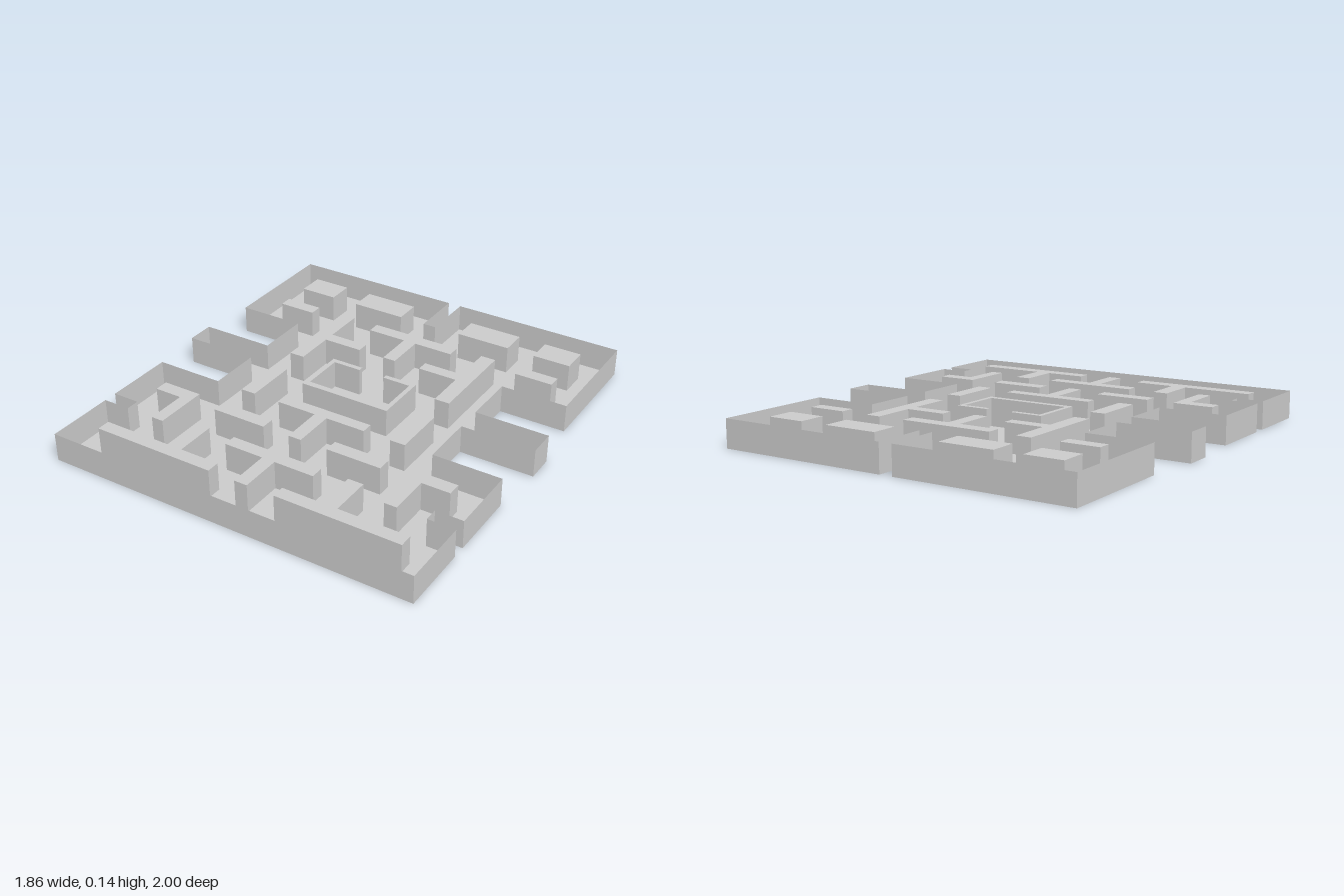
import * as THREE from 'three';

const HEIGHT = 0.136;
const material = new THREE.MeshStandardMaterial({ color: 0xcccccc, flatShading: true, side: THREE.DoubleSide });

// Plan points are [x, z]; the shape plane uses y = -z, ordered counter-clockwise from above
function planLoop(points) {
  const loop = points.map(([x, z]) => new THREE.Vector2(x, -z));
  return THREE.ShapeUtils.isClockWise(loop) ? loop.reverse() : loop;
}

const mirrorX = points => points.map(([x, z]) => [-x, z]);
const symmetric = half => [...half, ...mirrorX(half).reverse()];
const rect = (x0, x1, z0, z1) => [[x0, z0], [x1, z0], [x1, z1], [x0, z1]];

// Upright wall sheet following a closed plan loop
function wallGeometry(points) {
  const loop = planLoop(points);
  const position = [];
  loop.forEach((a, i) => {
    const b = loop[(i + 1) % loop.length];
    const a0 = [a.x, 0, -a.y], b0 = [b.x, 0, -b.y];
    const a1 = [a.x, HEIGHT, -a.y], b1 = [b.x, HEIGHT, -b.y];
    position.push(...a0, ...b0, ...b1, ...a0, ...b1, ...a1);
  });
  const geometry = new THREE.BufferGeometry();
  geometry.setAttribute('position', new THREE.Float32BufferAttribute(position, 3));
  geometry.computeVertexNormals();
  return geometry;
}

// Flat horizontal sheet, optionally pierced
function sheetGeometry(points, y, holes = []) {
  const shape = new THREE.Shape(planLoop(points));
  holes.forEach(h => shape.holes.push(new THREE.Path(planLoop(h))));
  return new THREE.ShapeGeometry(shape).rotateX(-Math.PI / 2).translate(0, y, 0);
}

function add(parent, name, geometry) {
  const mesh = new THREE.Mesh(geometry, material);
  mesh.name = name;
  parent.add(mesh);
}

// T-shaped block on the centre line, with its stem pointing to the front
const centreT = (z0, z1, z2) => symmetric([[0.227, z0], [0.227, z1], [0.032, z1], [0.032, z2]]);

export function createModel() {
  const model = new THREE.Group();
  model.name = 'maze';

  // Stepped outline with side tunnels and a rear notch
  const outline = symmetric([
    [0.033, -0.734], [0.033, -1], [0.895, -1], [0.895, -0.4], [0.571, -0.4],
    [0.571, -0.136], [0.93, -0.136], [0.93, 0], [0.571, 0], [0.571, 0.262],
    [0.904, 0.262], [0.904, 0.602], [0.772, 0.602], [0.772, 0.668],
    [0.904, 0.668], [0.904, 1],
  ]);

  // Blocks that appear once on each side
  const sideBlocks = {
    rearBlock: rect(0.166, 0.435, -0.868, -0.735),
    rearCornerBlock: rect(0.573, 0.76, -0.868, -0.735),
    rearBar: rect(0.573, 0.76, -0.6, -0.535),
    sidewaysT: [[0.361, -0.6], [0.435, -0.6], [0.435, -0.137], [0.361, -0.137],
      [0.361, -0.337], [0.166, -0.337], [0.166, -0.396], [0.361, -0.396]],
    uprightBar: rect(0.361, 0.435, 0, 0.262),
    crossBar: rect(0.166, 0.435, 0.4, 0.467),
    cornerL: [[0.573, 0.4], [0.77, 0.4], [0.77, 0.467], [0.633, 0.467],
      [0.633, 0.667], [0.573, 0.667]],
    frontT: [[0.361, 0.602], [0.435, 0.602], [0.435, 0.8], [0.772, 0.8],
      [0.772, 0.864], [0.166, 0.864], [0.166, 0.8], [0.361, 0.8]],
  };

  // Blocks on the centre line, including the open-backed pen
  const centreBlocks = {
    rearCentreT: centreT(-0.6, -0.535, -0.337),
    middleCentreT: centreT(0.205, 0.262, 0.467),
    frontCentreT: centreT(0.602, 0.665, 0.864),
    centrePen: [
      ...[[0.066, -0.2], [0.227, -0.2], [0.227, 0.068]],
      ...[[-0.227, 0.068], [-0.227, -0.2], [-0.066, -0.2]],
      ...[[-0.066, -0.175], [-0.205, -0.175], [-0.205, 0.038]],
      ...[[0.205, 0.038], [0.205, -0.175], [0.066, -0.175]],
    ],
  };

  const blocks = Object.entries(centreBlocks);
  for (const [name, points] of Object.entries(sideBlocks)) {
    blocks.push([name + 'Left', points], [name + 'Right', mirrorX(points)]);
  }

  // Floor is open beneath every hollow block
  add(model, 'floor', sheetGeometry(outline, 0, blocks.map(([, points]) => points)));
  add(model, 'outerWall', wallGeometry(outline));

  for (const [name, points] of blocks) {
    const block = new THREE.Group();
    block.name = name;
    add(block, 'blockSides', wallGeometry(points));
    add(block, 'blockTop', sheetGeometry(points, HEIGHT));
    model.add(block);
  }
  return model;
}
